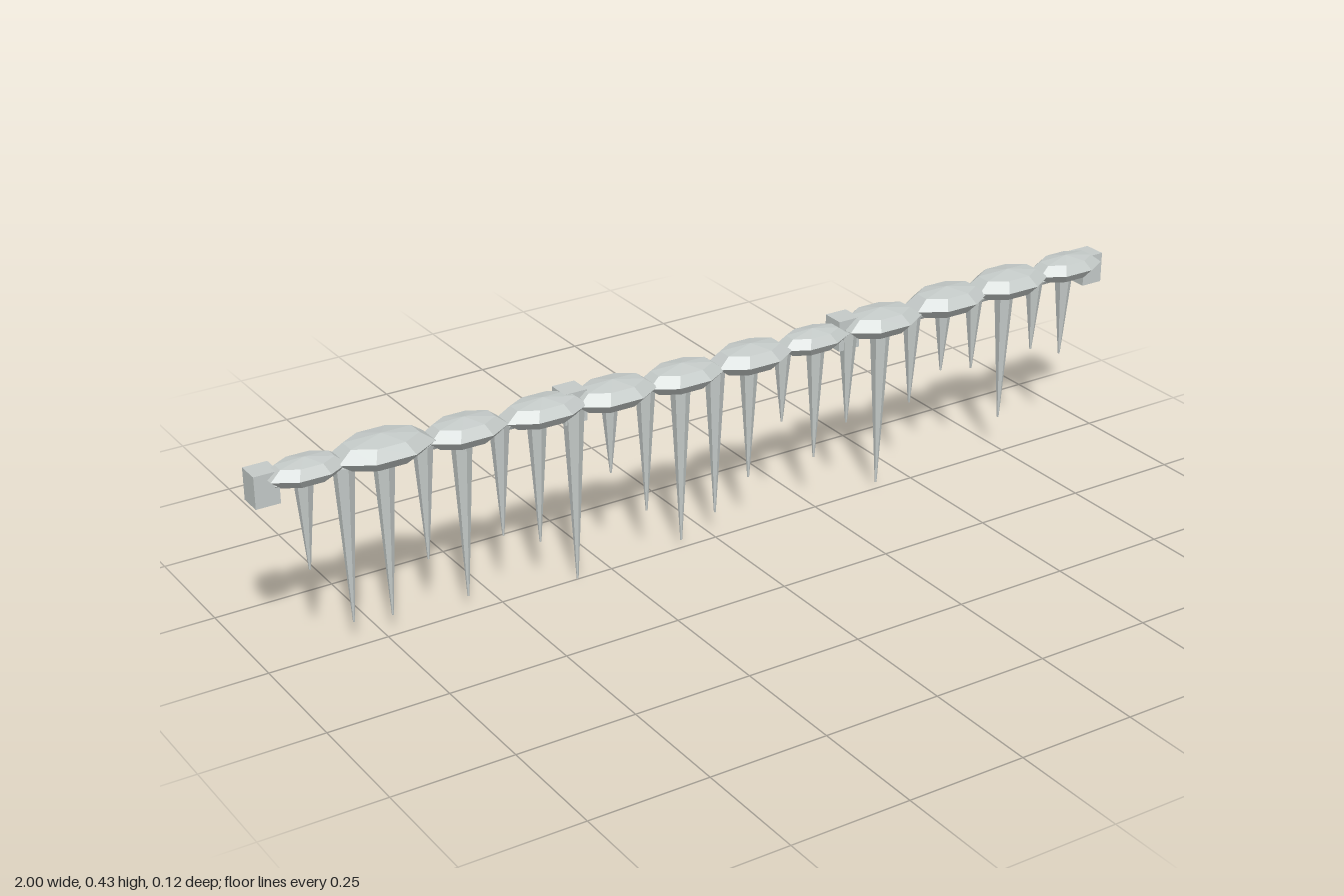
import * as THREE from 'three';

export function createModel() {
  const model = new THREE.Group();
  const ice = new THREE.MeshStandardMaterial({ color: 0xc4cac8, flatShading: true });
  ice.name = 'pale ice grey';

  const add = (name, geometry, x, y, z) => {
    const mesh = new THREE.Mesh(geometry, ice);
    mesh.name = name;
    mesh.position.set(x, y, z);
    model.add(mesh);
    return mesh;
  };

  // Snow clumps: x centre, half length, half depth, top height
  const clumps = [
    [-0.896, 0.077, 0.045, 0.425], [-0.74, 0.1, 0.061, 0.432], [-0.567, 0.084, 0.052, 0.421],
    [-0.396, 0.09, 0.05, 0.418], [-0.24, 0.09, 0.055, 0.417], [-0.08, 0.089, 0.052, 0.413],
    [0.083, 0.088, 0.054, 0.416], [0.235, 0.08, 0.043, 0.413], [0.406, 0.091, 0.056, 0.42],
    [0.577, 0.091, 0.057, 0.428], [0.74, 0.092, 0.057, 0.431], [0.9, 0.084, 0.048, 0.428],
  ];
  // Eight-sided flattened ball with flat sides facing front and ends
  const flat = Math.cos(Math.PI / 8);
  const ball = new THREE.SphereGeometry(1, 8, 4).rotateY(Math.PI / 8);
  for (const [x, halfLength, halfDepth, top] of clumps) {
    const height = 0.012 + halfDepth * 0.32;
    add('snowClump', ball, x, top - height, 0)
      .scale.set(halfLength / flat, height, halfDepth / flat);
  }

  // Icicles hanging at even steps, each ending at its own height
  const tips = [0.19, 0.053, 0.043, 0.14, 0.035, 0.144, 0.107, 0, 0.214, 0.107, 0.016, 0.057,
    0.115, 0.22, 0.117, 0.176, 0.014, 0.18, 0.235, 0.22, 0.083, 0.225, 0.195];
  tips.forEach((tip, i) => {
    const top = 0.385;
    const length = top - tip;
    const radius = 0.017 + length * 0.014;
    add('icicle', new THREE.CylinderGeometry(radius, 0.002, length, 6),
      -0.9 + (1.8 * i) / (tips.length - 1), tip + length / 2, -0.003);
  });

  // Sagging cord that carries the icicles
  const cord = new THREE.QuadraticBezierCurve3(
    new THREE.Vector3(-0.96, 0.382, -0.003),
    new THREE.Vector3(0, 0.366, -0.003),
    new THREE.Vector3(0.96, 0.382, -0.003));
  add('cord', new THREE.TubeGeometry(cord, 12, 0.009, 6), 0, 0, 0);

  // Mounting blocks along the back
  for (const x of [-0.975, -0.325, 0.325, 0.975]) {
    add('mountingBlock', new THREE.BoxGeometry(0.05, 0.066, 0.049), x, 0.379, -0.02);
  }

  return model;
}
